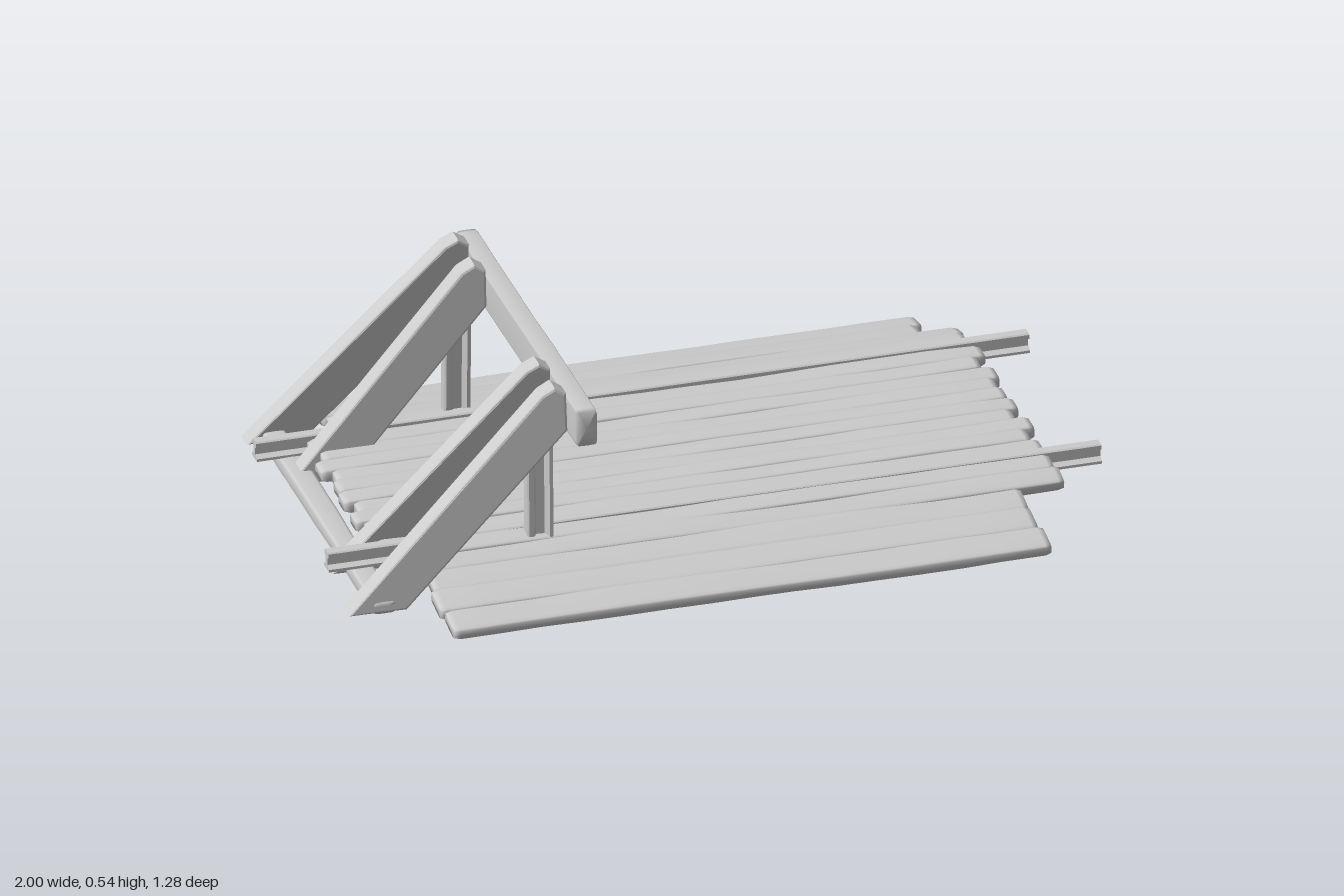
import * as THREE from 'three';
import { mergeVertices } from 'three/addons/utils/BufferGeometryUtils.js';

const material = new THREE.MeshStandardMaterial({ color: 0xcccccc });

// Weathered timber along x: a rounded-rectangle section with gentle waves and worn ends;
// hollow lifts the underside between the ends
function timberGeometry(length, height, width, seed, { wear = 0.06, power = 0.4, taper = 0.75, hollow = 0 } = {}) {
  const rings = 16;
  const geo = new THREE.CylinderGeometry(1, 1, 1, 16, rings);
  const p = geo.attributes.position;
  const round = (v) => Math.sign(v) * Math.pow(Math.abs(v), power);
  for (let i = 0; i < p.count; i++) {
    const s = p.getX(i), t = p.getY(i), c = p.getZ(i);
    const end = Math.abs(t) > 0.49;
    const x = end ? Math.sign(t) * length / 2 : t / (0.5 - 1 / rings) * (length / 2 - 0.015);
    const wave = 1 + wear * Math.sin(x * 9 + seed * 2.3) + wear * 0.6 * Math.sin(x * 21 + seed * 5.1);
    const lift = s < -0.8 && Math.abs(t) < 0.42 ? hollow : 0;
    p.setXYZ(i, x,
      round(s) * height / 2 * (end ? taper : 1) * wave + wear * 0.03 * Math.sin(x * 6 + seed * 4) + lift,
      round(c) * width / 2 * (end ? (1 + taper) / 2 : 1) * (1 + (wave - 1) * 0.5));
  }
  geo.deleteAttribute('uv');
  geo.deleteAttribute('normal');
  // x and y were swapped above, so turn the faces outward again
  const index = geo.index.array;
  for (let i = 0; i < index.length; i += 3) [index[i], index[i + 1]] = [index[i + 1], index[i]];
  const merged = mergeVertices(geo, 1e-5);
  merged.computeVertexNormals();
  return merged;
}

function add(parent, name, geo, x = 0, y = 0, z = 0) {
  const mesh = new THREE.Mesh(geo, material);
  mesh.name = name;
  mesh.position.set(x, y, z);
  parent.add(mesh);
  return mesh;
}

function polygon(points) {
  return new THREE.Shape(points.map(([x, y]) => new THREE.Vector2(x, y)));
}

// Rail section with foot, web and head, standing on y = 0 and running along z
function railGeometry(length, height, width) {
  const half = [[0.5, 0], [0.5, 0.14], [0.16, 0.28], [0.16, 0.64], [0.36, 0.72], [0.36, 0.94], [0.28, 1]];
  const pts = [...half, ...half.map(([x, y]) => [-x, y]).reverse()];
  const geo = new THREE.ExtrudeGeometry(
    polygon(pts.map(([x, y]) => [x * width, y * height])), { depth: length, bevelEnabled: false });
  return geo.translate(0, 0, -length / 2);
}

// Sloping strut with a level-cut foot, sheared so that it leans in z
function strutGeometry(footX, footZ, topZ, thickness) {
  const b = 0.007;
  const shape = polygon([[footX + 0.016, 0.025], [footX + 0.155, 0.025], [-0.427, 0.43],
    [-0.427, 0.52], [-0.45, 0.535], [-0.48, 0.52]]);
  const geo = new THREE.ExtrudeGeometry(shape, {
    depth: thickness - 2 * b, bevelThickness: b, bevelSize: b, bevelSegments: 2 });
  geo.translate(0, 0, -thickness / 2 + b);
  const p = geo.attributes.position;
  for (let i = 0; i < p.count; i++) {
    const k = (p.getY(i) - 0.02) / 0.52;
    p.setZ(i, p.getZ(i) + footZ + (topZ - footZ) * k);
  }
  geo.computeVertexNormals();
  return geo;
}

export function createModel() {
  const model = new THREE.Group();
  model.name = 'trackEndStop';

  // Level planks between the rails
  const deck = new THREE.Group();
  deck.name = 'deck';
  model.add(deck);
  for (let i = 0; i < 10; i++) {
    const z = -0.3 + i * 0.0585;
    const x0 = -0.87 + 0.015 * Math.sin(i * 2.4), x1 = 0.855 + 0.015 * Math.sin(i * 3.7 + 1);
    add(deck, 'deckPlank', timberGeometry(x1 - x0, 0.038, 0.065, i + 1, { hollow: 0.018 }),
      (x0 + x1) / 2, 0.081 + i * 0.0006 + 0.002 * Math.sin(i * 1.9), z);
  }

  // Outer planks stepping down to the ground: x0, x1, y, z, width, tilt
  const slope = [
    [-0.755, 0.79, 0.027, -0.598, 0.088, -0.2], [-0.78, 0.77, 0.044, -0.528, 0.088, -0.2],
    [-0.77, 0.86, 0.056, -0.463, 0.078, -0.25], [-0.78, 0.85, 0.074, -0.405, 0.068, -0.2],
    [-0.8, 0.86, 0.085, 0.312, 0.064, 0.1], [-0.79, 0.87, 0.073, 0.362, 0.07, 0.25],
    [-0.78, 0.755, 0.056, 0.428, 0.088, 0.22], [-0.79, 0.755, 0.042, 0.508, 0.092, 0.18],
    [-0.78, 0.765, 0.027, 0.59, 0.092, 0.18],
  ];
  slope.forEach(([x0, x1, y, z, width, tilt], i) => {
    const plank = add(deck, 'slopePlank',
      timberGeometry(x1 - x0, 0.034, width, i + 21, { wear: 0.045, taper: 0.8, hollow: 0.016 }),
      (x0 + x1) / 2, y, z);
    plank.rotation.x = tilt;
  });

  // Rails
  for (const z of [0.265, -0.35]) {
    add(model, 'rail', railGeometry(2, 0.05, 0.044), 0, 0.055, z).rotation.y = Math.PI / 2;
  }

  // Cross sleepers under the stop: x, width
  [[-0.91, 0.062], [-0.65, 0.09], [-0.39, 0.09], [-0.13, 0.09]].forEach(([x, width], i) => {
    const sleeper = add(model, 'sleeper', timberGeometry(1, 0.04, width, i + 41), x, 0.034, -0.035);
    sleeper.rotation.y = Math.PI / 2;
  });

  // Four sloping struts: foot x, foot z, top z
  const struts = [[-1.01, 0.44, 0.372], [-0.985, 0.212, 0.24], [-0.95, -0.27, -0.312], [-0.985, -0.508, -0.452]];
  for (const [footX, footZ, topZ] of struts) {
    add(model, 'strut', strutGeometry(footX, footZ, topZ, 0.055));
  }

  // Upright posts cut from rail
  for (const [z, lean] of [[0.31, -0.03], [-0.392, 0.03]]) {
    const geo = railGeometry(0.35, 0.064, 0.052).translate(0, -0.032, 0);
    geo.rotateX(-Math.PI / 2).rotateY(Math.PI / 2);
    add(model, 'post', geo, -0.467, 0.255, z).rotation.x = lean;
  }

  // Buffer beam across the top
  const beam = add(model, 'bufferBeam',
    timberGeometry(1.03, 0.1, 0.053, 7, { wear: 0.02, power: 0.2, taper: 0.95 }), -0.39, 0.455, -0.038);
  beam.rotation.set(0, Math.PI / 2, -0.01, 'YXZ');
  return model;
}
